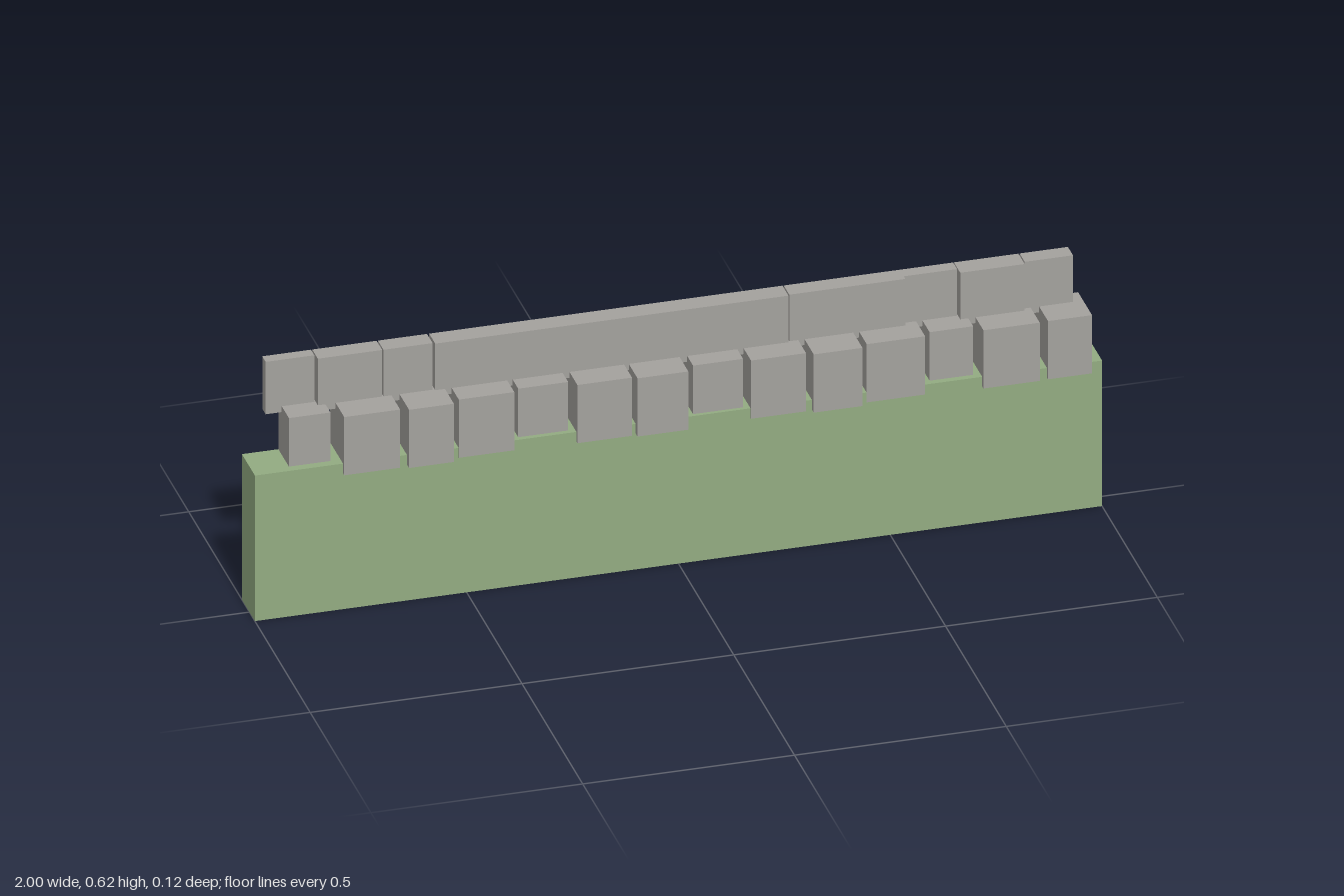
import * as THREE from 'three';

const BACK = -0.062;

export function createModel() {
  const model = new THREE.Group();
  model.name = 'stoneToppedBank';
  const grass = new THREE.MeshStandardMaterial({ color: 0x93ac82 });
  grass.name = 'grass green';
  const stone = new THREE.MeshStandardMaterial({ color: 0xa4a29e });
  stone.name = 'stone grey';

  // Box given by its limits along each axis
  function block(name, material, x0, x1, y0, y1, z0, z1, parent) {
    const mesh = new THREE.Mesh(new THREE.BoxGeometry(x1 - x0, y1 - y0, z1 - z0), material);
    mesh.position.set((x0 + x1) / 2, (y0 + y1) / 2, (z0 + z1) / 2);
    mesh.name = name;
    parent.add(mesh);
  }

  // Grassy base
  block('grassBank', grass, -1, 1, 0, 0.375, BACK, 0.045, model);

  // Lower course: separate stones [left edge, right edge, front]
  const lower = new THREE.Group();
  lower.name = 'lowerStones';
  [
    [-0.914, -0.816, 0.025], [-0.792, -0.66, 0.055], [-0.641, -0.535, 0.062],
    [-0.519, -0.388, 0.046], [-0.375, -0.257, 0.033], [-0.241, -0.112, 0.053],
    [-0.101, 0.019, 0.06], [0.037, 0.155, 0.036], [0.17, 0.3, 0.049],
    [0.315, 0.43, 0.06], [0.444, 0.582, 0.046], [0.597, 0.7, 0.03],
    [0.717, 0.85, 0.055], [0.87, 0.974, 0.053],
  ].forEach(([x0, x1, front], i) =>
    block(`lowerStone${i + 1}`, stone, x0, x1, 0.35, 0.5, BACK + 0.0005, front, lower));
  model.add(lower);

  // Upper course: stones set back and nearly touching
  const upper = new THREE.Group();
  upper.name = 'upperStones';
  [
    [-0.952, -0.837, -0.034], [-0.834, -0.682, -0.016], [-0.679, -0.563, -0.016],
    [-0.558, -0.278, -0.012], [-0.278, -0.004, -0.012], [-0.004, 0.276, -0.012],
    [0.279, 0.41, -0.016], [0.41, 0.553, -0.016], [0.553, 0.679, -0.029],
    [0.681, 0.833, -0.01], [0.836, 0.95, -0.02],
  ].forEach(([x0, x1, front], i) =>
    block(`upperStone${i + 1}`, stone, x0, x1, 0.485, 0.62, BACK, front, upper));
  model.add(upper);

  return model;
}
